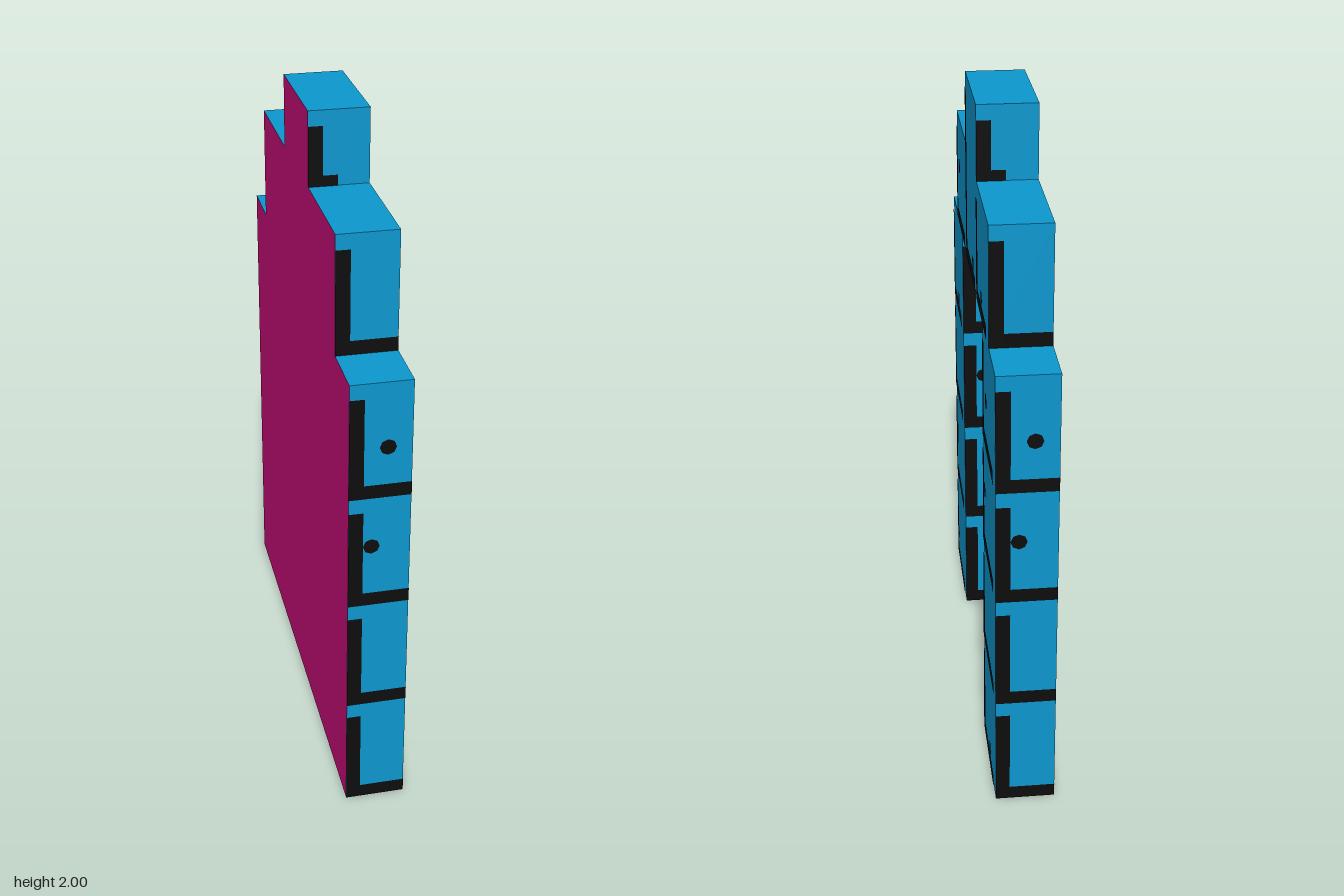
import * as THREE from 'three';

const D = 0.089;        // half thickness of the wall
const B = 0.3556;       // brick size
const STRIP = 0.042;    // mortar width
const LIFT = 0.002;     // paint stands this far off the brick
const DOOR_X = -0.047;  // plane of the recessed door panel

export function createModel() {
  const blue = new THREE.MeshStandardMaterial({ color: 0x0d97ce });
  blue.name = 'brick blue';
  const black = new THREE.MeshStandardMaterial({ color: 0x0d0d0d });
  black.name = 'mortar black';
  const magenta = new THREE.MeshStandardMaterial({ color: 0xc80d79 });
  magenta.name = 'back magenta';

  const model = new THREE.Group();
  model.name = 'brickArch';

  // Block with a magenta back (-x) and black underside
  function block(name, x0, x1, y0, y1, z0, z1, face = blue) {
    const mesh = new THREE.Mesh(
      new THREE.BoxGeometry(x1 - x0, y1 - y0, z1 - z0),
      [face, magenta, blue, black, blue, blue]);
    mesh.position.set((x0 + x1) / 2, (y0 + y1) / 2, (z0 + z1) / 2);
    mesh.name = name;
    model.add(mesh);
  }

  // A painted side: local x runs rightwards as seen, local y is up
  function side(name, turn, distance) {
    const group = new THREE.Group();
    group.name = name;
    group.rotation.y = turn;
    model.add(group);
    const add = (geometry, x, y, part) => {
      const mesh = new THREE.Mesh(geometry, black);
      mesh.position.set(x, y, distance + LIFT);
      mesh.name = part;
      group.add(mesh);
    };
    return {
      rect(x0, x1, y0, y1, part = 'mortar') {
        add(new THREE.PlaneGeometry(x1 - x0, y1 - y0), (x0 + x1) / 2, (y0 + y1) / 2, part);
      },
      dot(x, y) {
        add(new THREE.CircleGeometry(0.024, 8), x, y, 'speck');
      },
    };
  }

  // Blocks
  block('frontPillar', -D, D, 0, 4 * B, B, 2 * B);
  block('backPillar', -D, D, 0, 4 * B, -2 * B, -B);
  block('frontShoulder', -D, D, 4 * B, 5 * B, B / 2, 1.5 * B);
  block('backShoulder', -D, D, 4 * B, 5 * B, -1.5 * B, -B / 2);
  block('keystone', -D, D, 4 * B, 2, -B / 2, B / 2);
  block('doorPanel', -D, DOOR_X, 0, 4 * B, -B, B, black);

  // Broad face mortar: an L of mortar on each brick
  const broad = side('broadFaceMortar', Math.PI / 2, D);
  function brickL(x, y, height = B) {
    broad.rect(x, x + STRIP, y, y + height - 0.045);
    broad.rect(x + STRIP, x + 0.306, y, y + STRIP);
  }
  for (let row = 0; row < 4; row++) {
    brickL(-2 * B, row * B);
    brickL(B, row * B);
  }
  brickL(-1.5 * B, 4 * B);
  brickL(B / 2, 4 * B);
  brickL(-B / 2, 4 * B, 2 - 4 * B);

  // Specks and chips on the broad face
  broad.rect(-0.67, -0.632, 0.495, 0.58, 'chip');
  [[-0.655, 0.11], [-0.515, 1.128], [0.553, 0.065], [0.415, 0.91], [0.46, 1.225],
    [-0.427, 1.625], [0.066, 1.487], [0.333, 1.487]].forEach(([x, y]) => broad.dot(x, y));

  // Narrow faces: same pattern on pillar ends, door reveals, shoulders and keystone.
  // left and right bound the visible width of each face.
  function narrowColumn(name, turn, distance, left, right) {
    const s = side(name, turn, distance);
    for (let row = 0; row < 4; row++) {
      if (left < -0.08) s.rect(-D, -D + STRIP, row * B, (row + 1) * B - 0.045);
      s.rect(left, right, row * B, row * B + STRIP);
    }
    s.dot(-0.023, 0.91);
    s.dot(0.02, 1.225);
  }
  for (const [label, turn, left, right] of [
    ['front', 0, DOOR_X, D], ['back', Math.PI, -D, -DOOR_X]]) {
    narrowColumn(label + 'EndMortar', turn, 2 * B, -D, D);
    narrowColumn(label + 'RevealMortar', turn, -B, left, right);

    const shoulder = side(label + 'ShoulderMortar', turn, 1.5 * B);
    shoulder.rect(-D, -D + STRIP, 4 * B, 5 * B - 0.045);
    shoulder.rect(-D, D, 4 * B, 4 * B + STRIP);

    const keystone = side(label + 'KeystoneMortar', turn, B / 2);
    keystone.rect(-D, -D + STRIP, 5 * B, 1.955);
    keystone.rect(-D + STRIP, -0.004, 5 * B, 1.81, 'chip');
  }

  return model;
}
